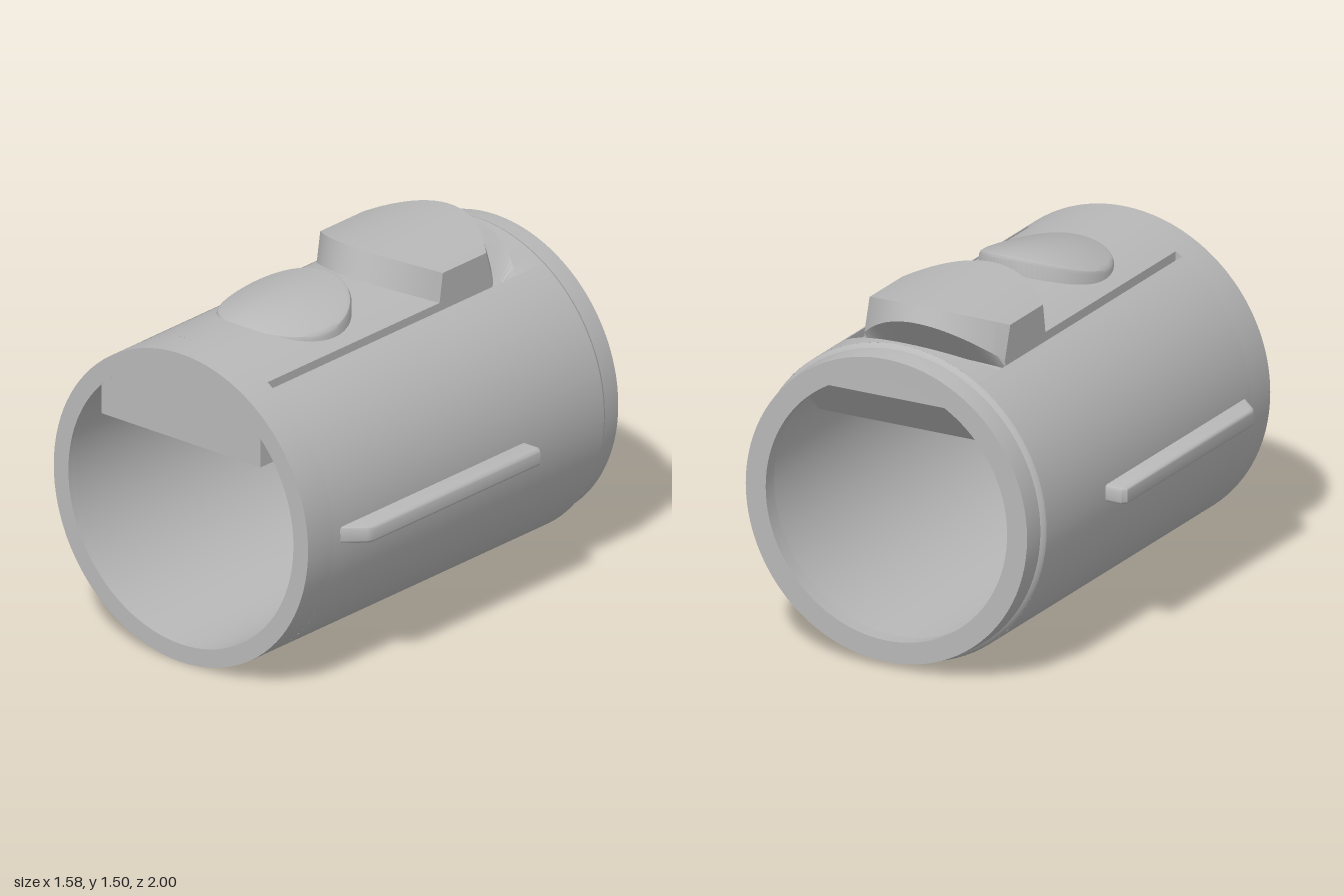
import * as THREE from 'three';
import { toCreasedNormals } from 'three/addons/utils/BufferGeometryUtils.js';

const CY = 0.695, R = 0.695, INNER = 0.615; // tube axis height and radii
const arcY = (r, x) => CY + Math.sqrt(Math.max(0, r * r - x * x));

// Surface joining columns of points; columns run towards +x, rows over the top towards -z
function skin(columns, crease = 0.5) {
  const pos = columns.flat(2), idx = [], n = columns[0].length;
  for (let i = 0; i < columns.length - 1; i++) {
    for (let j = 0; j < n - 1; j++) {
      const a = i * n + j, b = a + n;
      idx.push(a, b, a + 1, b, b + 1, a + 1);
    }
  }
  const g = new THREE.BufferGeometry();
  g.setAttribute('position', new THREE.Float32BufferAttribute(pos, 3));
  g.setIndex(idx);
  return toCreasedNormals(g, crease);
}

// Closed solid: each column is a loop, and both ends are capped by a fan
function solid(columns) {
  const loops = columns.map(c => [...c, c[0]]);
  const fan = loop => {
    const m = [0, 1, 2].map(k => loop.slice(1).reduce((s, p) => s + p[k], 0) / (loop.length - 1));
    return loop.map(() => m);
  };
  return skin([fan(loops[0]), ...loops, fan(loops[loops.length - 1])]);
}

const spread = (half, n) => Array.from({ length: n + 1 }, (_, i) => half * (2 * i / n - 1));

// Profile of [radius, z] turned about the tube axis, with an opening at the top
function turned(profile, openHalfAngle = 0) {
  const g = new THREE.LatheGeometry(profile.map(p => new THREE.Vector2(p[0], p[1])), 96,
    Math.PI + openHalfAngle, 2 * Math.PI - 2 * openHalfAngle);
  g.rotateX(Math.PI / 2).translate(0, CY, 0);
  return toCreasedNormals(g, 0.5);
}

export function createModel() {
  const group = new THREE.Group();
  const grey = new THREE.MeshStandardMaterial({ color: 0xb8b8b8, side: THREE.DoubleSide });
  grey.name = 'grey';
  const add = (name, geometry) => {
    const mesh = new THREE.Mesh(geometry, grey);
    mesh.name = name;
    group.add(mesh);
  };

  // Tube: front rim, outer and inner walls open along the top, stepped back collar
  const edge = 0.365, grooveIn = 0.335;
  add('frontRim', turned([[R, 0.84], [R, 1], [INNER, 1], [INNER, 0.96]]));
  add('outerWall', turned([[R, -0.88], [R, 0.84]], Math.asin(edge / R)));
  add('innerWall', turned([[INNER, 0.96], [INNER, -0.88]], Math.asin(0.4 / INNER)));
  add('backCollar', turned([[INNER, -0.88], [INNER, -0.92], [0.58, -0.92], [0.575, -1],
    [0.67, -1], [0.678, -0.91], [0.678, -0.902], [0.69, -0.892], [R, -0.88]]));

  // Top wall with two long grooves and a ramped recess behind the slider
  const floor = 1.25;
  const topColumn = (x, front, low) => {
    const s = arcY(R, x), f = front ?? s, d = low ?? s;
    const rampLow = -0.79 + 1.43 * x * x, rampTop = -0.855 + 1.16 * x * x;
    return [[0.84, s], [0.84, f], [-0.4, f], [-0.4, d], [rampLow, d], [rampTop, s], [-0.88, s]]
      .map(([z, y]) => [x, y, z]);
  };
  add('topWall', skin([
    topColumn(-edge), topColumn(-edge, floor, floor), topColumn(-grooveIn, floor, floor),
    ...spread(grooveIn, 28).map(x => topColumn(x, undefined, floor)),
    topColumn(grooveIn, floor, floor), topColumn(edge, floor, floor), topColumn(edge),
  ]));

  // Flat-bottomed block filling the top of the bore, sloped at the back
  add('innerBlock', solid(spread(0.435, 28).map(x => {
    const s = arcY(0.617, x), t = Math.min(1.2, s);
    return [[0.999, s], [0.95, s], [0.95, t], [-0.9, t], [-0.9, s], [-0.999, s],
      [-0.8 - (t - 1), t], [-0.8, 1], [0.999, 1]].map(([z, y]) => [x, y, z]);
  })));

  // Slider: curved top, bowed front and back, undercut at the back
  add('slider', solid(spread(0.335, 28).map(x => {
    const q = x * x, top = arcY(0.81, x);
    return [[-0.11 - 1.47 * q, top], [-0.715 + 1.47 * q, top],
      [-0.745 + 1.34 * q, 1.44 - 1.34 * q], [-0.565 - 0.2 * q, 1.25],
      [-0.01 - 2.1 * q, 1.25]].map(([z, y]) => [x, y, z]);
  })));

  // Round button rising towards the back, with a softened rim
  const buttonY = (x, z) => arcY(0.697 + (0.625 - z) * 0.14, x);
  const buttonPoint = (a, r, side, drop) => {
    const x = r * Math.sin(a), z = 0.345 + side * r * Math.cos(a);
    return [x, drop === null ? 1.25 : buttonY(x, z) - drop, z];
  };
  add('button', solid(spread(Math.PI / 2, 40).map(a => [
    buttonPoint(a, 0.28, 1, 0.018), buttonPoint(a, 0.274, 1, 0.006), buttonPoint(a, 0.26, 1, 0),
    buttonPoint(a, 0.26, -1, 0), buttonPoint(a, 0.274, -1, 0.006), buttonPoint(a, 0.28, -1, 0.018),
    buttonPoint(a, 0.28, -1, null), buttonPoint(a, 0.28, 1, null),
  ])));

  // Side fins with tapered front ends and rounded edges
  for (const [name, s] of [['leftFin', 1], ['rightFin', -1]]) {
    const shape = new THREE.Shape([[0.66, -0.37], [0.765, -0.37], [0.775, -0.36], [0.775, 0.685],
      [0.765, 0.71], [0.66, 0.815]].map(([x, z]) => new THREE.Vector2(s * x, z)));
    const g = new THREE.ExtrudeGeometry(shape, {
      depth: 0.045, bevelThickness: 0.015, bevelSize: 0.015, bevelSegments: 3,
    });
    g.rotateX(Math.PI / 2).translate(0, 0.72, 0);
    add(name, toCreasedNormals(g, 0.7));
  }

  return group;
}
